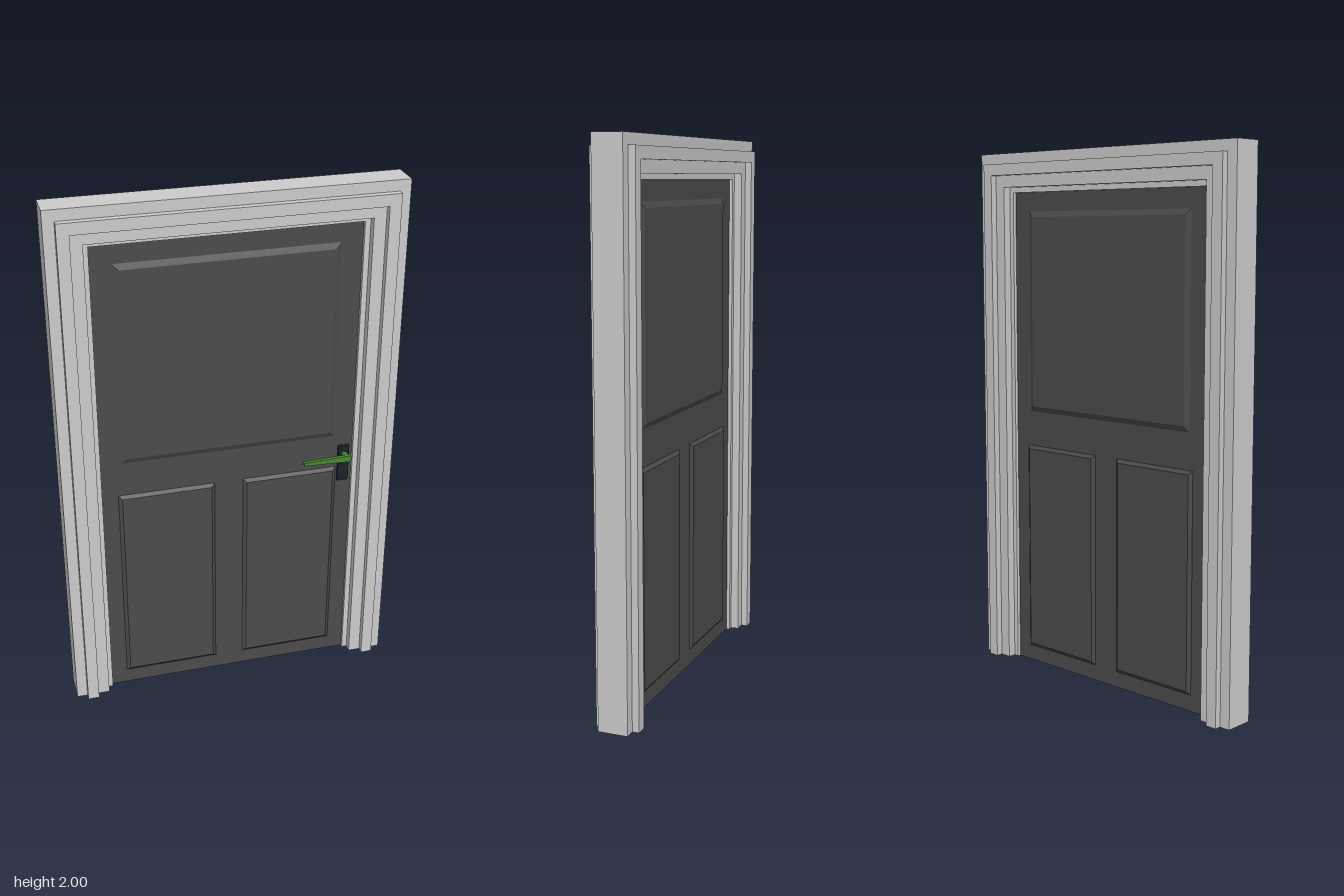
import * as THREE from 'three';

const mat = (color) => new THREE.MeshStandardMaterial({ color, flatShading: true });
const GREY = mat(0xcccccc), DOOR = mat(0x4b4b4b), PLATE = mat(0x1c222c), GREEN = mat(0x478a2f);
const HALF_W = 0.63, HEIGHT = 2, DOOR_Z = 0.012;

function add(parent, name, geometry, material, x = 0, y = 0, z = 0) {
  const mesh = new THREE.Mesh(geometry, material);
  mesh.name = name;
  mesh.position.set(x, y, z);
  parent.add(mesh);
  return mesh;
}

// Moves each vertex of a geometry by a rule, then refreshes its normals
function reshape(geometry, rule) {
  const p = geometry.attributes.position, v = new THREE.Vector3();
  for (let i = 0; i < p.count; i++) {
    rule(v.fromBufferAttribute(p, i));
    p.setXYZ(i, v.x, v.y, v.z);
  }
  geometry.computeVertexNormals();
  return geometry;
}

// Stepped moulding profile (inset, depth) swept up, across and down with mitred corners
function frameGeometry() {
  const half = [[0, 0.055], [0.04, 0.055], [0.04, 0.08], [0.083, 0.08],
    [0.083, 0.055], [0.128, 0.055], [0.128, 0.025], [0.148, 0.025]];
  const back = half.map(([d, z]) => [d, -z]);
  const profile = [...back, ...half.slice().reverse()];
  const shape = new THREE.Shape(profile.map(([d, z]) => new THREE.Vector2(d, z)));
  const geo = new THREE.ExtrudeGeometry(shape, { depth: 3, steps: 3, bevelEnabled: false });
  return reshape(geo, (v) => {
    const d = v.x, z = v.y, station = Math.round(v.z);
    const side = station < 2 ? 1 : -1;
    const top = station === 1 || station === 2;
    v.set(side * (HALF_W - d), top ? HEIGHT - d : 0, z);
  });
}

// Raised panel: a thin box whose outer face is inset to give bevelled edges
function panelGeometry(w, h, bevel) {
  return reshape(new THREE.BoxGeometry(w, h, 0.01), (v) => {
    if (v.z > 0) {
      v.x -= Math.sign(v.x) * bevel;
      v.y -= Math.sign(v.y) * bevel;
    }
  });
}

function panelSet() {
  const set = new THREE.Group();
  const z = DOOR_Z + 0.005;
  add(set, 'upperPanel', panelGeometry(0.81, 0.77, 0.021), DOOR, 0, 1.395, z);
  for (const s of [-1, 1]) {
    add(set, 'lowerPanel', panelGeometry(0.365, 0.815, 0.013), DOOR, s * 0.2375, 0.4675, z);
  }
  return set;
}

// Handle plate, spindle and tapering lever on the front only
function handle() {
  const group = new THREE.Group();
  group.name = 'handle';
  add(group, 'handlePlate', new THREE.BoxGeometry(0.042, 0.15, 0.012), PLATE, 0.447, 0.892, DOOR_Z + 0.006);
  const post = add(group, 'handleSpindle', new THREE.CylinderGeometry(0.011, 0.011, 0.04, 12), GREEN, 0.449, 0.932, 0.042);
  post.rotation.x = Math.PI / 2;
  const lever = reshape(new THREE.BoxGeometry(0.185, 0.026, 0.014), (v) => {
    if (v.x < 0) v.y *= 0.45;
  });
  add(group, 'handleLever', lever, GREEN, 0.3705, 0.932, 0.058);
  return group;
}

export function createModel() {
  const model = new THREE.Group();
  model.name = 'panelledDoor';

  add(model, 'doorFrame', frameGeometry(), GREY);
  add(model, 'doorLeaf', new THREE.BoxGeometry(0.964, 1.852, DOOR_Z * 2), DOOR, 0, 0.926, 0);

  // Matching panels on both faces of the leaf
  const front = panelSet(), back = panelSet();
  front.name = 'frontPanels';
  back.name = 'backPanels';
  back.rotation.y = Math.PI;
  model.add(front, back, handle());
  return model;
}
